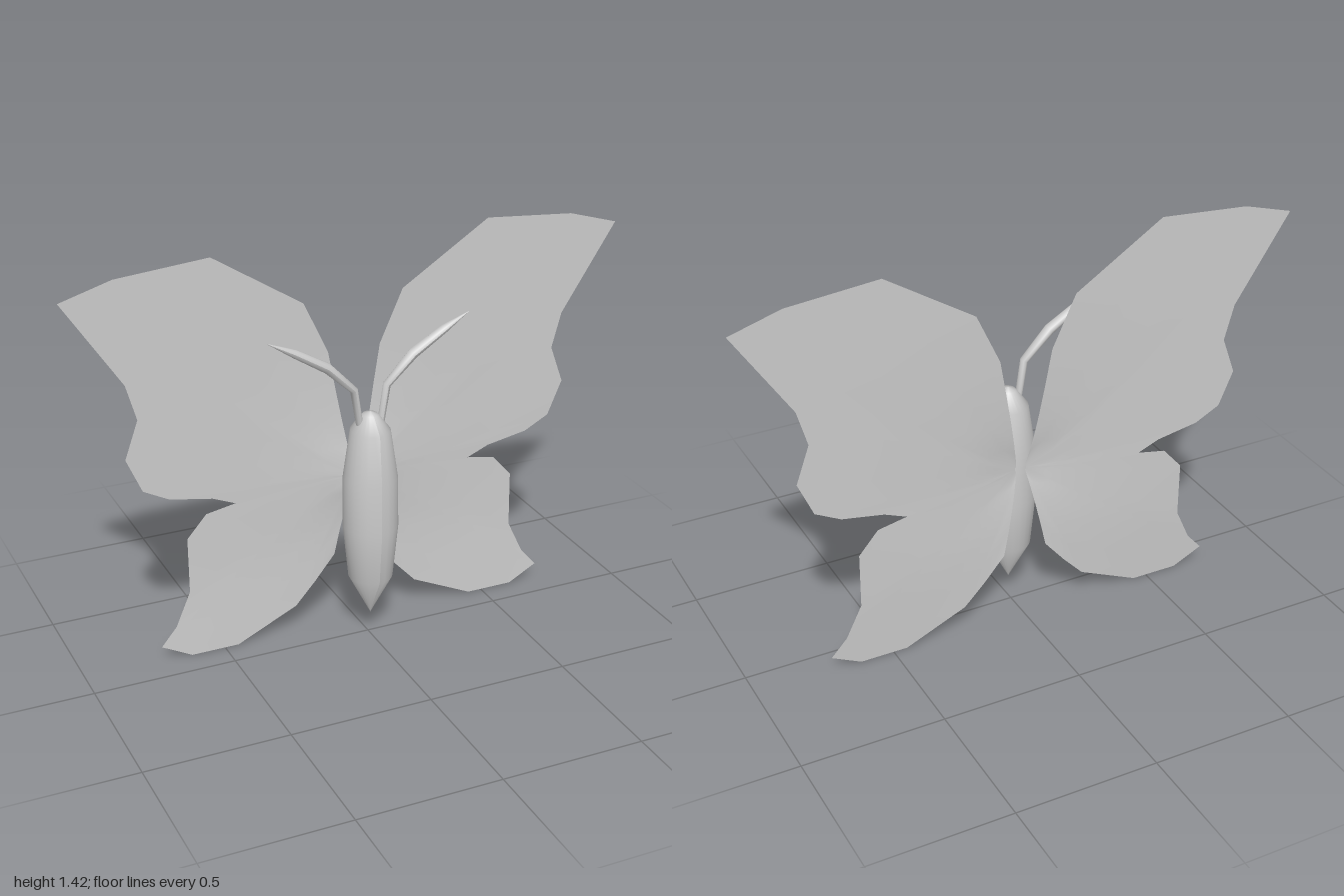
import * as THREE from 'three';

const grey = () => new THREE.MeshStandardMaterial({ color: 0xcccccc });

// Spindle body: lathe profile, pinched slightly sideways at the head end
function makeBody() {
  const profile = [[0, 0.085], [0.077, 0.235], [0.096, 0.43], [0.094, 0.61], [0.077, 0.785], [0.03, 0.84], [0, 0.85]];
  const g = new THREE.LatheGeometry(profile.map(([r, y]) => new THREE.Vector2(r, y)), 24);
  const p = g.attributes.position;
  for (let i = 0; i < p.count; i++) if (p.getY(i) > 0.7) p.setX(i, p.getX(i) * 0.87);
  g.computeVertexNormals();
  const mesh = new THREE.Mesh(g, grey());
  mesh.name = 'body';
  mesh.position.z = 0.02;
  return mesh;
}

// Wing sheet: rings of the outline shrunk towards the root, curving back from the body
function makeWing() {
  const root = [0.015, 0.58];
  const outline = [
    [0.08, 0.27], [0.155, 0.18], [0.23, 0.1], [0.45, 0], [0.62, 0], [0.727, 0.055], [0.67, 0.12],
    [0.615, 0.24], [0.615, 0.44], [0.545, 0.52], [0.44, 0.54], [0.52, 0.573], [0.67, 0.6],
    [0.76, 0.647], [0.813, 0.77], [0.765, 0.904], [0.8, 1.03], [1, 1.337], [0.82, 1.39],
    [0.497, 1.417], [0.18, 1.214], [0.095, 1.03],
  ];
  const rings = [0.12, 0.25, 0.45, 0.7, 1];
  const n = outline.length;
  const depth = (x, y) => {
    const d = Math.hypot(x - root[0], y - root[1]);
    return -0.07 - 0.043 * (1 - Math.exp(-d / 0.15)) + 0.05 * Math.max(0, 0.3 - y);
  };
  const pos = [...root, -0.07];
  const index = [];
  rings.forEach((t, r) => {
    outline.forEach(([ox, oy], i) => {
      const x = root[0] + (ox - root[0]) * t;
      const y = root[1] + (oy - root[1]) * t;
      pos.push(x, y, depth(x, y));
      if (i === n - 1) return;
      const a = 1 + r * n + i;
      if (r === 0) index.push(0, a, a + 1);
      else index.push(a - n, a, a + 1, a - n, a + 1, a - n + 1);
    });
  });
  const g = new THREE.BufferGeometry();
  g.setAttribute('position', new THREE.Float32BufferAttribute(pos, 3));
  g.setIndex(index);
  g.computeVertexNormals();
  const material = grey();
  material.side = THREE.DoubleSide;
  const mesh = new THREE.Mesh(g, material);
  mesh.name = 'wing';
  return mesh;
}

// Antenna: a cylinder whose rings are laid along a bent, tapering path
function makeAntenna() {
  // x, y, radius, from tip to base
  const path = [[0.362, 1.148, 0.001], [0.27, 1.1, 0.017], [0.155, 1.03, 0.021], [0.06, 0.936, 0.016], [0.038, 0.8, 0.014]];
  const g = new THREE.CylinderGeometry(1, 1, 1, 10, path.length - 1);
  const p = g.attributes.position;
  for (let i = 0; i < p.count; i++) {
    const k = Math.round((0.5 - p.getY(i)) * (path.length - 1));
    const [x, y, r] = path[k];
    const a = path[Math.max(k - 1, 0)];
    const b = path[Math.min(k + 1, path.length - 1)];
    const dir = new THREE.Vector2(a[0] - b[0], a[1] - b[1]).normalize();
    const across = p.getX(i) * r * 0.85;
    p.setXYZ(i, x + dir.y * across, y - dir.x * across, 0.02 + p.getZ(i) * r);
  }
  g.computeVertexNormals();
  const mesh = new THREE.Mesh(g, grey());
  mesh.name = 'antenna';
  return mesh;
}

export function createModel() {
  const model = new THREE.Group();
  model.name = 'butterfly';
  model.add(makeBody());
  // Mirrored wing and antenna on each side
  for (const [name, s] of [['left', 1], ['right', -1]]) {
    const half = new THREE.Group();
    half.name = name + 'Side';
    half.add(makeWing(), makeAntenna());
    half.children.forEach((m) => { m.name = name + m.name[0].toUpperCase() + m.name.slice(1); });
    half.scale.x = s;
    model.add(half);
  }
  return model;
}
